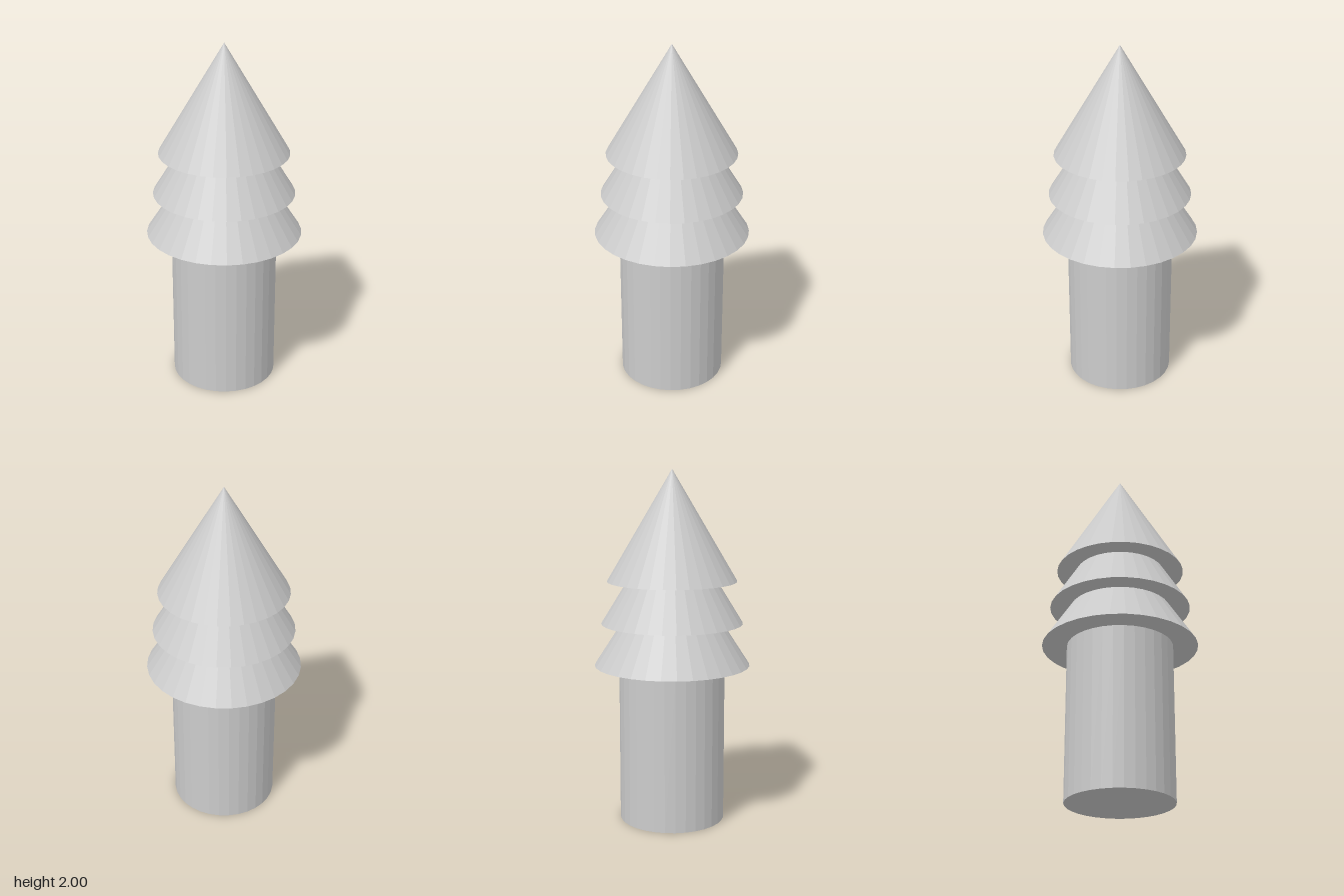
import * as THREE from 'three';

const SIDES = 32;

export function createModel() {
  const group = new THREE.Group();
  const material = new THREE.MeshStandardMaterial({ color: 0xcccccc, flatShading: true });

  const add = (name, geometry, baseY, height) => {
    const mesh = new THREE.Mesh(geometry, material);
    mesh.name = name;
    mesh.position.y = baseY + height / 2;
    group.add(mesh);
  };

  // Thick round trunk
  add('trunk', new THREE.CylinderGeometry(0.3, 0.3, 0.903, SIDES), 0, 0.903);

  // Overlapping foliage cones, each narrower than the one below
  const tiers = [
    { name: 'lowerFoliage', radius: 0.44, baseY: 0.903, height: 0.68 },
    { name: 'middleFoliage', radius: 0.4, baseY: 1.142, height: 0.65 },
    { name: 'topFoliage', radius: 0.366, baseY: 1.38, height: 0.62 },
  ];
  for (const { name, radius, baseY, height } of tiers) {
    add(name, new THREE.ConeGeometry(radius, height, SIDES), baseY, height);
  }

  return group;
}
